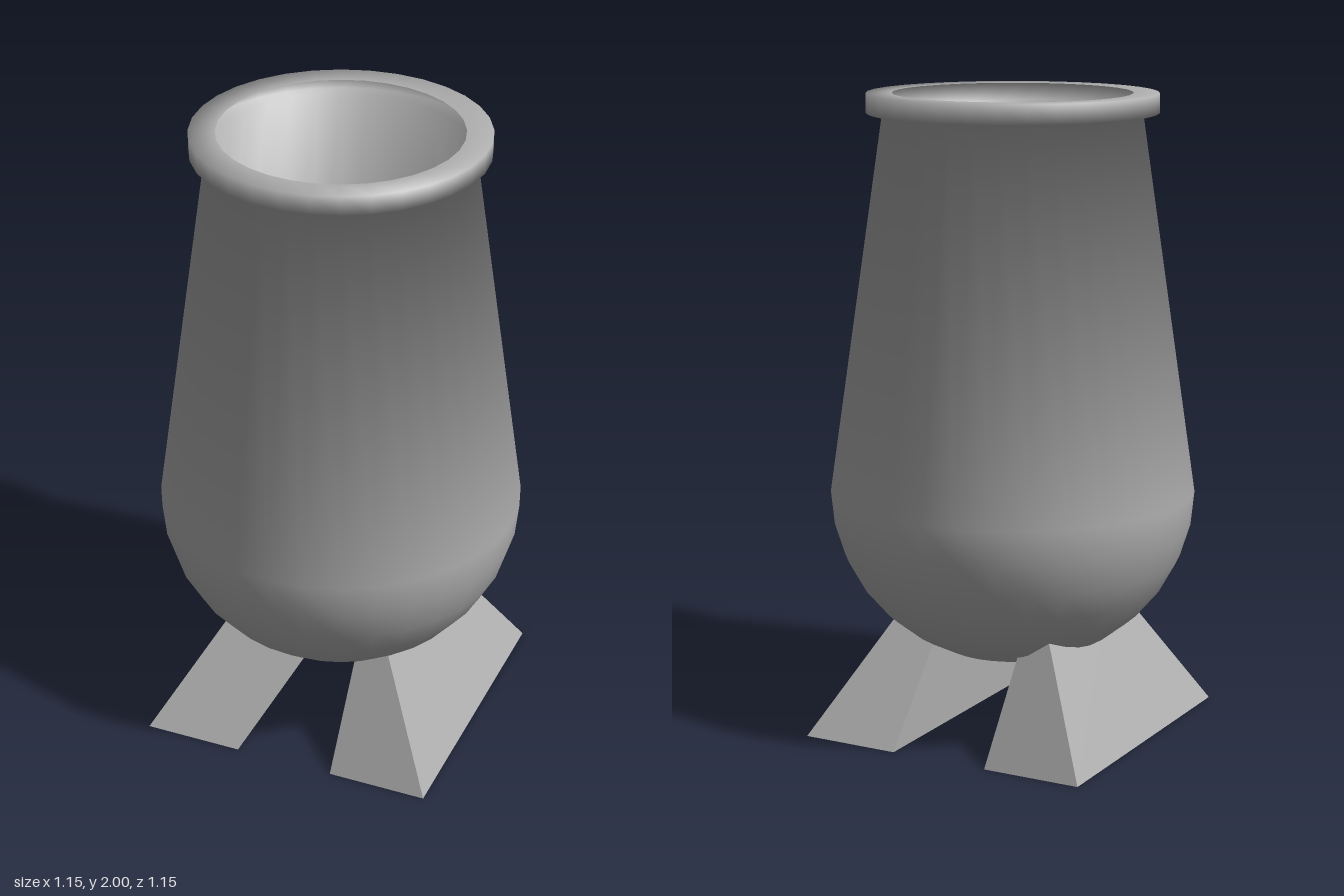
import * as THREE from 'three';

const SEGMENTS = 32;

// Lathe whose normals blend neighbouring profile segments equally, whatever their length
function smoothLathe(points) {
  const geometry = new THREE.LatheGeometry(points, SEGMENTS);
  const slopes = points.slice(1).map((p, j) => {
    const d = p.clone().sub(points[j]).normalize();
    return new THREE.Vector2(d.y, -d.x);
  });
  const blended = points.map((p, j) => {
    const below = slopes[Math.max(j - 1, 0)];
    const above = slopes[Math.min(j, slopes.length - 1)];
    return below.clone().add(above).normalize();
  });
  const normal = geometry.attributes.normal;
  for (let v = 0; v < normal.count; v++) {
    const angle = Math.floor(v / points.length) * 2 * Math.PI / SEGMENTS;
    const n = blended[v % points.length];
    normal.setXYZ(v, n.x * Math.sin(angle), n.y, n.x * Math.cos(angle));
  }
  return geometry;
}

// Wedge foot: wide base, raised outer ridge, top sloping down to the inner wall
function footGeometry() {
  const corners = [
    [0.477, 0, 0.477], [0.16, 0, 0.477], [0.16, 0, -0.477], [0.477, 0, -0.477],
    [0.23, 0.44, 0.23], [0.15, 0.31, 0.23], [0.15, 0.31, -0.23], [0.23, 0.44, -0.23],
  ].map((c) => new THREE.Vector3(...c));
  const quads = [
    [5, 1, 0, 4], // front end
    [7, 3, 2, 6], // back end
    [0, 3, 7, 4], // outer slope
    [2, 1, 5, 6], // inner wall
    [6, 5, 4, 7], // top slope
    [0, 1, 2, 3], // base
  ];
  const positions = [];
  const normals = [];
  for (const quad of quads) {
    const [a, b, c, d] = quad.map((i) => corners[i]);
    // One normal per quad, so the slightly twisted ends shade evenly
    const n = c.clone().sub(a).cross(d.clone().sub(b)).normalize();
    for (const p of [a, b, c, a, c, d]) {
      positions.push(...p.toArray());
      normals.push(...n.toArray());
    }
  }
  const geometry = new THREE.BufferGeometry();
  geometry.setAttribute('position', new THREE.Float32BufferAttribute(positions, 3));
  geometry.setAttribute('normal', new THREE.Float32BufferAttribute(normals, 3));
  return geometry;
}

export function createModel() {
  const model = new THREE.Group();
  model.name = 'footedJar';
  const grey = new THREE.MeshStandardMaterial({ color: 0xaeaeae });
  const thinGrey = new THREE.MeshStandardMaterial({ color: 0xaeaeae, side: THREE.DoubleSide });

  // Thin shell: rounded bowl, tapering neck, then the overhanging rim in one profile
  const profile = [];
  for (let i = 0; i <= 8; i++) {
    const a = (i / 8) * Math.PI / 2;
    profile.push(new THREE.Vector2(0.573 * Math.sin(a), 0.76 - 0.55 * Math.cos(a)));
  }
  for (const [r, y] of [[0.4, 1.94], [0.45, 1.94], [0.45, 2], [0.37, 2]]) {
    profile.push(new THREE.Vector2(r, y));
  }
  const body = new THREE.Mesh(smoothLathe(profile), thinGrey);
  body.name = 'bodyAndRim';
  model.add(body);

  // Two feet, the second turned half way round
  const foot = footGeometry();
  ['leftFoot', 'rightFoot'].forEach((name, i) => {
    const mesh = new THREE.Mesh(foot, grey);
    mesh.name = name;
    mesh.rotation.y = i * Math.PI;
    model.add(mesh);
  });

  return model;
}
